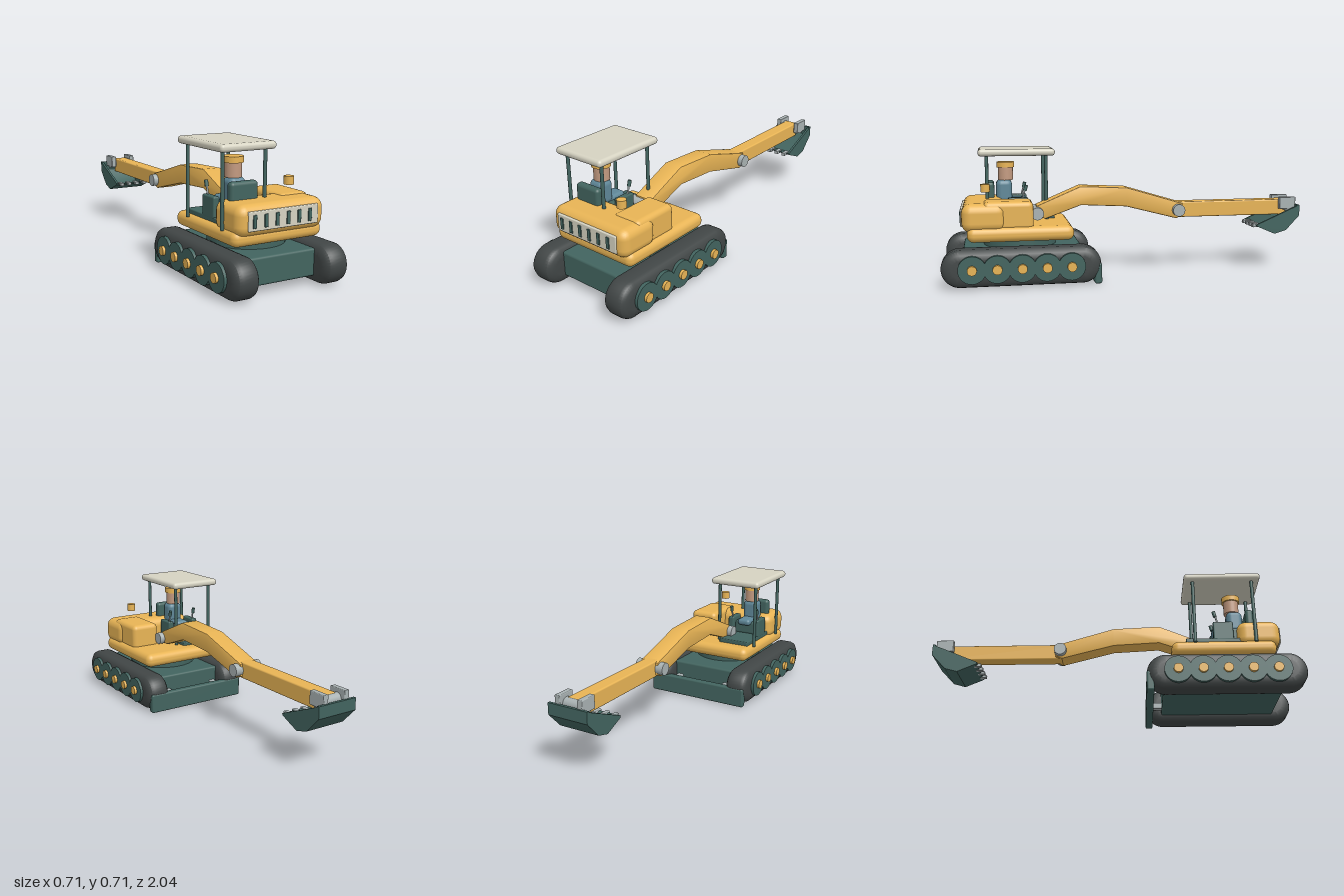
import * as THREE from 'three';
import { RoundedBoxGeometry } from 'three/addons/geometries/RoundedBoxGeometry.js';
import { toCreasedNormals } from 'three/addons/utils/BufferGeometryUtils.js';

const mat = (color, side = THREE.FrontSide) => new THREE.MeshStandardMaterial({ color, side });
const yellow = mat(0xe8b455), green = mat(0x42645f), rubber = mat(0x414646), cream = mat(0xd6d3c2);
const grey = mat(0xa9b2b3), skin = mat(0xc39a80), blue = mat(0x5f8798);

export function createModel() {
  const model = new THREE.Group();

  function add(name, geometry, material) {
    const mesh = new THREE.Mesh(geometry, material);
    mesh.name = name;
    model.add(mesh);
    return mesh;
  }
  // Rounded box given by its ranges along each axis
  function box(name, material, [x0, x1], [y0, y1], [z0, z1], radius = 0.006) {
    const mesh = add(name, new RoundedBoxGeometry(x1 - x0, y1 - y0, z1 - z0, 3, radius), material);
    mesh.position.set((x0 + x1) / 2, (y0 + y1) / 2, (z0 + z1) / 2);
    return mesh;
  }
  // Cylinder along y (default) or along x
  function cylinder(name, material, radius, length, [x, y, z], alongX = false) {
    const mesh = add(name, new THREE.CylinderGeometry(radius, radius, length, 28), material);
    mesh.position.set(x, y, z);
    if (alongX) mesh.rotation.z = Math.PI / 2;
    return mesh;
  }
  // Extrude a side profile of (z, y) points across x, centred on x
  function sideExtrude(name, material, shape, width, x, bevelThickness, bevelSize, bevelSegments = 2) {
    const depth = width - 2 * bevelThickness;
    const geometry = new THREE.ExtrudeGeometry(shape, {
      depth, bevelEnabled: bevelSize > 0, bevelThickness, bevelSize, bevelSegments, curveSegments: 10,
    });
    geometry.translate(0, 0, -depth / 2).rotateY(-Math.PI / 2);
    const mesh = add(name, toCreasedNormals(geometry, 0.6), material);
    mesh.position.x = x;
    return mesh;
  }
  const polygon = (points) => new THREE.Shape(points.map(([z, y]) => new THREE.Vector2(z, y)));

  // Undercarriage
  box('chassis', green, [-0.2, 0.2], [0.046, 0.186], [0.29, 0.93], 0.012);
  cylinder('turntable', green, 0.2, 0.06, [0, 0.21, 0.62]);

  // Tracks with wheels and hubs
  const track = new THREE.Shape();
  track.absarc(0.94, 0.108, 0.05, -Math.PI / 2, Math.PI / 2, false);
  track.absarc(0.303, 0.108, 0.05, Math.PI / 2, Math.PI * 1.5, false);
  track.closePath();
  for (const side of [-1, 1]) {
    sideExtrude('track', rubber, track, 0.136, side * 0.257, 0.036, 0.05, 3);
    for (let i = 0; i < 5; i++) {
      const z = 0.365 + i * 0.129;
      cylinder('wheel', green, 0.073, 0.03, [side * 0.325, 0.108, z], true);
      cylinder('hub', yellow, 0.025, 0.03, [side * 0.34, 0.108, z], true);
    }
    box('bladeArm', grey, [side * 0.16 - 0.018, side * 0.16 + 0.018], [0.07, 0.105], [0.22, 0.33]);
  }
  box('blade', green, [-0.312, 0.312], [0.003, 0.115], [0.2, 0.24], 0.01);

  // Upper body
  box('platform', yellow, [-0.258, 0.258], [0.232, 0.312], [0.34, 0.905], 0.036);
  box('counterweight', yellow, [-0.25, 0.25], [0.283, 0.436], [0.7, 0.932], 0.05);
  box('engineHood', yellow, [0.065, 0.235], [0.29, 0.444], [0.555, 0.82], 0.028);
  box('grillePanel', cream, [-0.2, 0.2], [0.314, 0.408], [0.915, 0.938], 0.005);
  for (let i = 0; i < 6; i++) {
    const x = -0.167 + i * 0.063;
    box('grilleSlot', green, [x - 0.01, x + 0.01], [0.329, 0.392], [0.93, 0.943], 0.003);
  }
  cylinder('exhaustCap', yellow, 0.025, 0.042, [0.12, 0.509, 0.805]);

  // Cab: floor, seat, consoles with levers
  box('cabFloor', green, [-0.23, -0.04], [0.3, 0.335], [0.42, 0.72]);
  box('seatBase', green, [-0.205, -0.055], [0.33, 0.41], [0.6, 0.78], 0.015);
  box('seatBack', green, [-0.208, -0.052], [0.38, 0.522], [0.755, 0.8], 0.018);
  for (const x of [-0.213, -0.041]) {
    box('console', green, [x - 0.018, x + 0.018], [0.325, 0.435], [0.57, 0.68], 0.008);
    const lever = cylinder('lever', grey, 0.005, 0.06, [x, 0.455, 0.592]);
    const grip = cylinder('leverGrip', green, 0.01, 0.032, [x, 0.488, 0.582]);
    lever.rotation.x = grip.rotation.x = -0.25;
  }

  // Operator
  box('torso', blue, [-0.175, -0.079], [0.4, 0.532], [0.655, 0.745], 0.03);
  box('legs', blue, [-0.168, -0.086], [0.39, 0.43], [0.57, 0.7], 0.018);
  cylinder('head', skin, 0.042, 0.075, [-0.127, 0.566, 0.69]);
  cylinder('hat', yellow, 0.05, 0.031, [-0.127, 0.616, 0.69]);

  // Canopy on four posts
  for (const x of [-0.254, -0.015]) {
    for (const z of [0.468, 0.795]) cylinder('canopyPost', green, 0.0095, 0.38, [x, 0.49, z]);
  }
  box('canopy', cream, [-0.29, 0.023], [0.671, 0.71], [0.418, 0.842], 0.018);

  // Digging arm: bent boom, straight stick and pivots
  const boom = polygon([
    [0.52, 0.39], [0.28, 0.492], [0.02, 0.48], [-0.302, 0.384],
    [-0.302, 0.325], [-0.272, 0.312], [0.02, 0.388], [0.28, 0.402], [0.48, 0.33], [0.53, 0.35],
  ]);
  sideExtrude('boom', yellow, boom, 0.11, 0, 0.008, 0.008);
  box('stick', yellow, [-0.04, 0.04], [0.308, 0.398], [-0.945, -0.27], 0.008);
  cylinder('boomPivot', grey, 0.035, 0.17, [0, 0.355, 0.525], true);
  cylinder('elbowPivot', grey, 0.035, 0.17, [0, 0.353, -0.282], true);
  cylinder('bucketPivot', grey, 0.03, 0.15, [0, 0.365, -0.94], true);

  // Bucket: curved shell between two cheeks, mounting ears and teeth
  const outer = [[-0.74, 0.26], [-0.745, 0.25], [-0.85, 0.205], [-0.92, 0.225], [-1, 0.31], [-1, 0.372]];
  const inner = [[-0.985, 0.372], [-0.985, 0.317], [-0.912, 0.24], [-0.85, 0.222]];
  sideExtrude('bucketShell', green, polygon([...outer, ...inner]), 0.23, 0, 0, 0);
  for (const side of [-1, 1]) {
    sideExtrude('bucketCheek', green, polygon(outer), 0.014, side * 0.108, 0, 0);
    box('bucketEar', grey, [side * 0.065 - 0.015, side * 0.065 + 0.015], [0.345, 0.415], [-0.99, -0.892], 0.004);
  }
  for (let i = 0; i < 4; i++) {
    const x = -0.08 + i * 0.0533;
    box('tooth', grey, [x - 0.013, x + 0.013], [0.243, 0.263], [-0.775, -0.722], 0.004);
  }
  return model;
}
